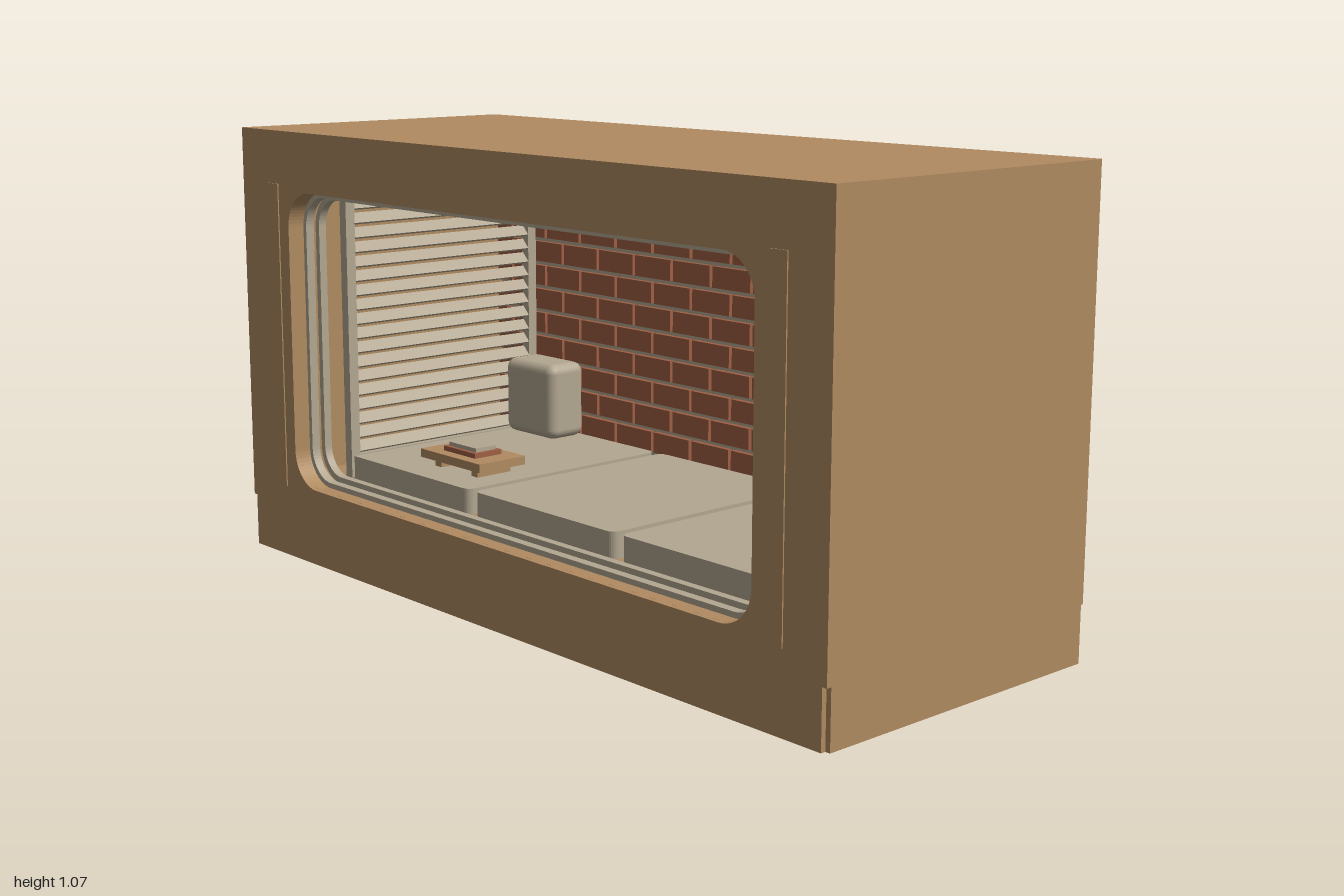
import * as THREE from 'three';
import { RoundedBoxGeometry } from 'three/addons/geometries/RoundedBoxGeometry.js';

const mat = (name, color) => {
  const m = new THREE.MeshStandardMaterial({ color });
  m.name = name;
  return m;
};

export function createModel() {
  const wood = mat('wood', 0xb08b61);
  const stone = mat('warm grey', 0xb3a791);
  const brick = mat('brick red', 0x9e5f44);
  const model = new THREE.Group();
  const H = 1.07;

  const add = (name, geo, material, x = 0, y = 0, z = 0, parent = model) => {
    const m = new THREE.Mesh(geo, material);
    m.name = name;
    m.position.set(x, y, z);
    parent.add(m);
    return m;
  };
  const box = (name, material, x0, x1, y0, y1, z0, z1, parent) =>
    add(name, new THREE.BoxGeometry(x1 - x0, y1 - y0, z1 - z0), material,
      (x0 + x1) / 2, (y0 + y1) / 2, (z0 + z1) / 2, parent);
  const group = (name) => {
    const g = new THREE.Group();
    g.name = name;
    model.add(g);
    return g;
  };

  // Outlines in the x-y plane
  const rounded = (w, y0, y1, r, T = THREE.Shape) => {
    const s = new T();
    s.moveTo(-w + r, y0);
    s.lineTo(w - r, y0);
    s.absarc(w - r, y0 + r, r, -Math.PI / 2, 0);
    s.lineTo(w, y1 - r);
    s.absarc(w - r, y1 - r, r, 0, Math.PI / 2);
    s.lineTo(-w + r, y1);
    s.absarc(-w + r, y1 - r, r, Math.PI / 2, Math.PI);
    s.lineTo(-w, y0 + r);
    s.absarc(-w + r, y0 + r, r, Math.PI, Math.PI * 1.5);
    return s;
  };
  const poly = (pts, T = THREE.Shape) => new T(pts.map(p => new THREE.Vector2(...p)));
  const rect = (w, y0, y1, T) => poly([[-w, y0], [w, y0], [w, y1], [-w, y1]], T);
  const notched = (w) => poly([[-0.988, 0], [0.988, 0], [0.988, 0.13], [w, 0.13],
    [w, H], [-w, H], [-w, 0.13], [-0.988, 0.13]]);
  const plate = (name, material, shape, hole, z0, z1) => {
    if (hole) shape.holes.push(hole);
    const geo = new THREE.ExtrudeGeometry(shape, { depth: z1 - z0, bevelEnabled: false, curveSegments: 8 });
    return add(name, geo, material, 0, 0, z0);
  };
  const windowHole = () => rounded(0.8, 0.19, 0.925, 0.09, THREE.Path);

  // Cabinet shell, front with window, back frame and panel
  plate('shell', wood, rect(1, 0, H), rect(0.9, 0.19, 1.0, THREE.Path), -0.388, 0.388);
  plate('frontInner', wood, rect(0.9, 0.19, 1.0), rounded(0.8, 0.1901, 0.925, 0.09, THREE.Path), 0.355, 0.388);
  plate('frontFace', wood, notched(1), windowHole(), 0.388, 0.4);
  const backHole = () => rect(0.955, 0.137, 1.013, THREE.Path);
  plate('backFrame', wood, notched(1), backHole(), -0.393, -0.388);
  plate('backEdge', wood, notched(0.996), backHole(), -0.4, -0.393);
  box('backPanel', stone, -0.951, 0.951, 0.141, 1.009, -0.394, -0.36);

  // Slim raised strips beside the window
  for (const s of [-1, 1]) box('frontStrip', wood, s * 0.8625 - 0.0225, s * 0.8625 + 0.0225, 0.18, 0.94, 0.4, 0.403);

  // Window trim: two nested rings
  plate('outerTrim', stone, rounded(0.802, 0.188, 0.927, 0.09),
    rounded(0.788, 0.203, 0.912, 0.078, THREE.Path), 0.335, 0.357);
  plate('innerTrim', stone, rounded(0.795, 0.196, 0.919, 0.085),
    rounded(0.78, 0.212, 0.904, 0.07, THREE.Path), 0.305, 0.325);

  // Brick wall in running bond
  const wall = group('brickWall');
  box('mortar', stone, -0.9, 0.9, 0.19, 1.0, -0.36, -0.342, wall);
  const pitch = 0.0637, step = 0.1395;
  for (let row = 0; row < 13; row++) {
    const y0 = 0.882 - (row - 1) * pitch - pitch + 0.006;
    const y1 = Math.min(y0 + pitch - 0.011, 1.0);
    if (y0 < 0.19) continue;
    const shift = row % 2 ? -0.626 : -0.696;
    for (let i = -2; i < 12; i++) {
      const x0 = Math.max(shift + i * step + 0.005, -0.9);
      const x1 = Math.min(shift + (i + 1) * step - 0.005, 0.9);
      if (x1 - x0 > 0.02) box('brick', brick, x0, x1, y0, y1, -0.343, -0.328, wall);
    }
  }

  // Bench cushions with rounded corners in plan
  for (const x of [-0.51, 0.005, 0.52]) {
    const s = rounded(0.246, -0.27, 0.325, 0.02);
    const geo = new THREE.ExtrudeGeometry(s, { depth: 0.062, bevelEnabled: false, curveSegments: 3 });
    geo.rotateX(-Math.PI / 2);
    add('seatCushion', geo, stone, x, 0.193, 0);
  }

  for (const s of [-1, 1]) {
    // Back pillow
    add('pillow', new RoundedBoxGeometry(0.195, 0.197, 0.115, 3, 0.025), stone, s * 0.633, 0.352, -0.268);

    // Louvred side screen
    const screen = group('sideScreen');
    screen.position.x = s * 0.745;
    for (const z of [0.265, -0.31]) box('screenPost', stone, -0.013, 0.013, 0.2, 0.96, z - 0.013, z + 0.013, screen);
    for (const y of [0.245, 0.945]) box('screenRail', stone, -0.012, 0.012, y - 0.013, y + 0.013, -0.3, 0.26, screen);
    for (let i = 0; i < 19; i++) {
      const slat = box('screenSlat', stone, -0.016, 0.016, -0.003, 0.003, -0.3, 0.255, screen);
      slat.position.y = 0.275 + i * 0.036;
      slat.rotation.z = s * 0.8;
    }
  }

  // Tray with feet, book and pages
  const tray = group('tray');
  box('trayTop', wood, -0.545, -0.31, 0.275, 0.296, 0.06, 0.2, tray);
  for (const x of [-0.5, -0.355]) box('trayFoot', wood, x - 0.012, x + 0.012, 0.254, 0.276, 0.08, 0.18, tray);
  box('bookCover', brick, -0.49, -0.365, 0.296, 0.308, 0.09, 0.17, tray);
  box('bookPages', stone, -0.48, -0.375, 0.308, 0.318, 0.1, 0.16, tray);

  // Hanging lamp
  const lamp = group('lamp');
  lamp.position.set(0.657, 0, -0.15);
  const turned = (name, rTop, rBottom, y0, y1) =>
    add(name, new THREE.CylinderGeometry(rTop, rBottom, y1 - y0, 20), brick, 0, (y0 + y1) / 2, 0, lamp);
  turned('lampShade', 0.06, 0.064, 0.745, 0.797);
  turned('lampCap', 0.036, 0.046, 0.797, 0.83);
  turned('lampStem', 0.007, 0.007, 0.83, 1.0);

  return model;
}
